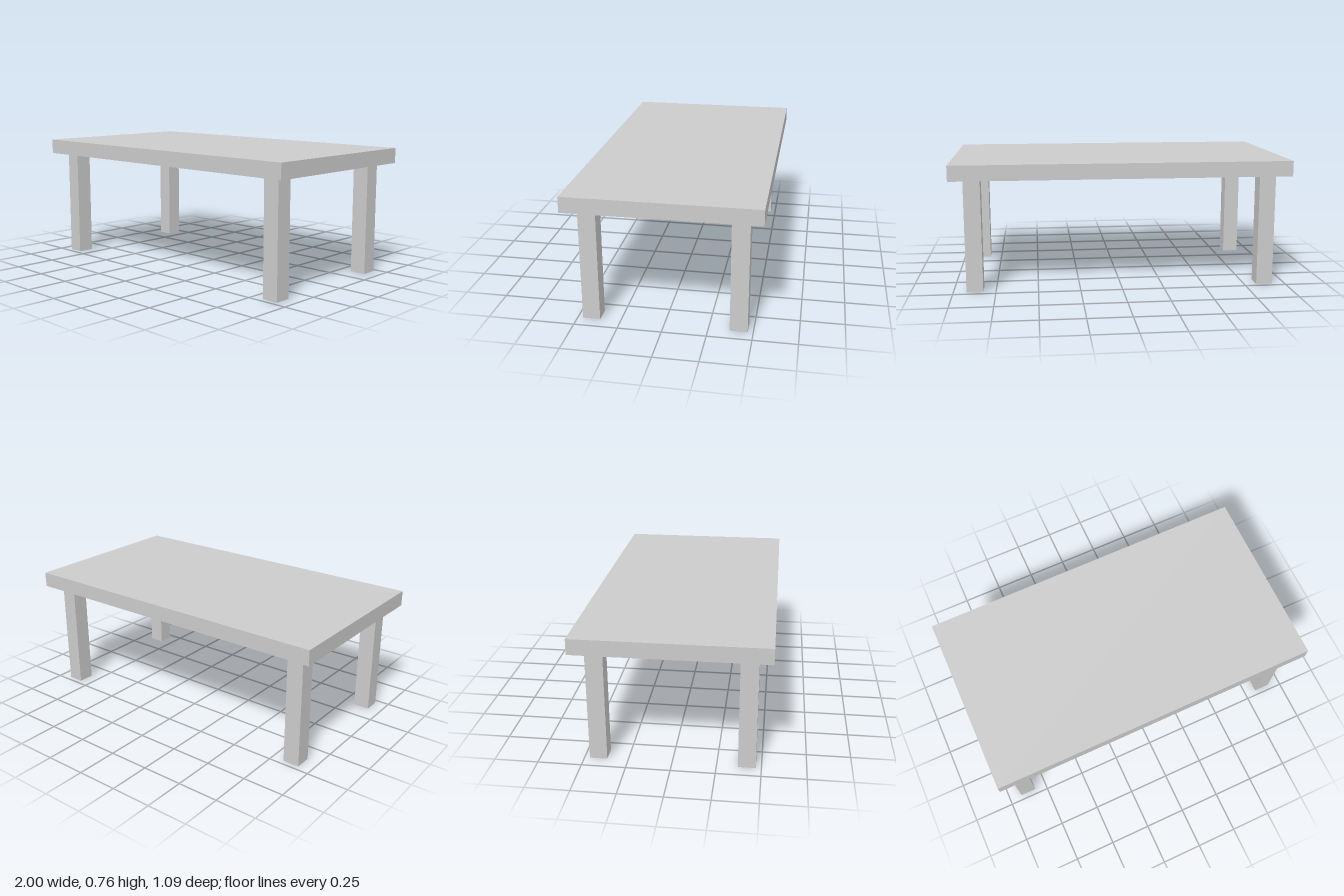
import * as THREE from 'three';

const LEG_HEIGHT = 0.673;
const TOP_THICKNESS = 0.091;

export function createModel() {
  const table = new THREE.Group();
  table.name = 'table';
  const material = new THREE.MeshStandardMaterial({ color: 0xcccccc, flatShading: true });

  const addBox = (name, size, position) => {
    const mesh = new THREE.Mesh(new THREE.BoxGeometry(...size), material);
    mesh.name = name;
    mesh.position.set(...position);
    table.add(mesh);
  };

  // Slab top
  addBox('tableTop', [2, TOP_THICKNESS, 1.09], [0, LEG_HEIGHT + TOP_THICKNESS / 2, 0]);

  // Four square legs, inset from the corners
  for (const [side, x] of [['Left', 1], ['Right', -1]]) {
    for (const [end, z] of [['front', 1], ['back', -1]]) {
      addBox(`${end}${side}Leg`, [0.098, LEG_HEIGHT, 0.1], [x * 0.873, LEG_HEIGHT / 2, z * 0.419]);
    }
  }
  return table;
}
